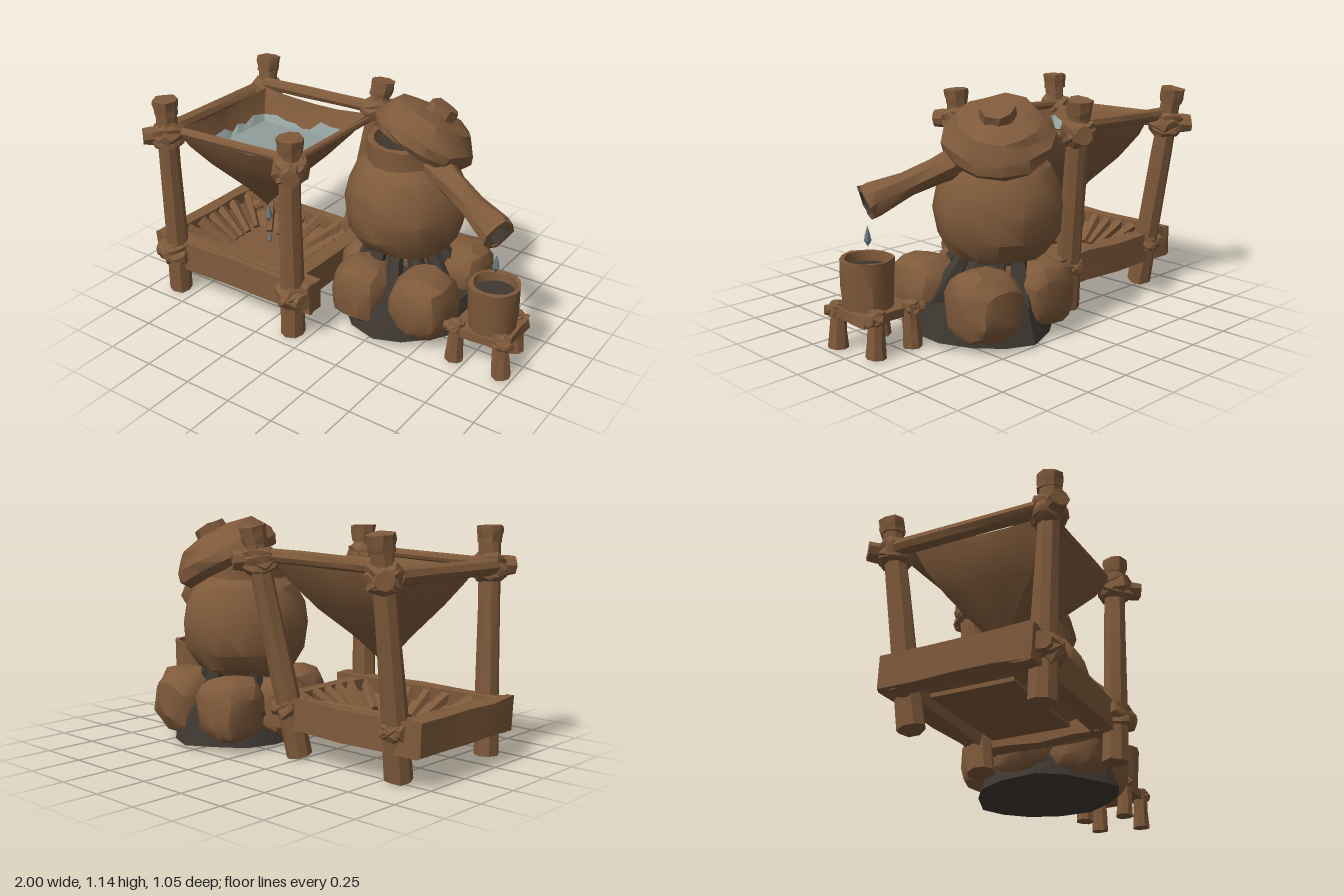
import * as THREE from 'three';
import { toCreasedNormals } from 'three/addons/utils/BufferGeometryUtils.js';

const mat = (name, color) => {
  const m = new THREE.MeshStandardMaterial({ color, side: THREE.DoubleSide });
  m.name = name;
  return m;
};
const V = (x, y, z) => new THREE.Vector3(x, y, z);

// Repeatable noise from a position, so shared corners move together
const hash = (x, y, z, s) => {
  const n = Math.sin(Math.round(x * 500) * 12.99 + Math.round(y * 500) * 78.23 + Math.round(z * 500) * 37.72 + s * 4.1) * 43758.5453;
  return (n - Math.floor(n)) * 2 - 1;
};
function roughen(geo, amount, seed = 1) {
  const p = geo.attributes.position;
  for (let i = 0; i < p.count; i++) {
    const [x, y, z] = [p.getX(i), p.getY(i), p.getZ(i)];
    p.setXYZ(i, x + amount * hash(x, y, z, seed), y + amount * hash(x, y, z, seed + 1), z + amount * hash(x, y, z, seed + 2));
  }
  return toCreasedNormals(geo, 0.55);
}
// Radius factor that turns a circle into a square
const square = (a) => 1 / Math.max(Math.abs(Math.cos(a)), Math.abs(Math.sin(a)));

// Surface through rings of equal point count
function skin(rings) {
  const n = rings[0].length, idx = [];
  for (let r = 1; r < rings.length; r++) {
    for (let i = 0; i < n; i++) {
      const b = r * n + i, c = r * n + (i + 1) % n;
      idx.push(b - n, c - n, b, c - n, c, b);
    }
  }
  const g = new THREE.BufferGeometry().setFromPoints(rings.flat());
  g.setIndex(idx);
  return g;
}

export function createModel() {
  const root = new THREE.Group();
  const wood = mat('brown', 0x7f5a3b);
  const char = mat('charcoal', 0x3f3831);
  const water = mat('water', 0x909e9b);
  const dropMat = mat('droplet', 0x6b7a7e);
  const group = (name) => { const g = new THREE.Group(); g.name = name; root.add(g); return g; };
  const add = (parent, name, geo, m = wood) => {
    const mesh = new THREE.Mesh(geo, m);
    mesh.name = name;
    parent.add(mesh);
    return mesh;
  };

  // Rough pole running from a to b
  let seed = 1;
  const limb = (parent, name, a, b, r0, r1 = r0, m = wood, sides = 8) => {
    const len = a.distanceTo(b);
    const mesh = add(parent, name, roughen(new THREE.CylinderGeometry(r1, r0, len, sides, 3), r0 * 0.07, seed++), m);
    mesh.position.copy(a).lerp(b, 0.5);
    mesh.quaternion.setFromUnitVectors(V(0, 1, 0), b.clone().sub(a).normalize());
  };
  // Lump of rough stone or rope; power below 1 makes it boxier
  const lump = (parent, name, c, size, rough, power = 1, floor = -9) => {
    const g = new THREE.IcosahedronGeometry(1, power < 1 ? 2 : 1);
    const p = g.attributes.position, k = (v) => Math.sign(v) * Math.abs(v) ** power;
    for (let i = 0; i < p.count; i++) {
      const [x, y, z] = [p.getX(i), p.getY(i), p.getZ(i)];
      const n = (j) => rough * hash(x, y, z, seed + j);
      p.setXYZ(i, c.x + size.x * (k(x) + n(0)), Math.max(floor, c.y + size.y * (k(y) + n(1))), c.z + size.z * (k(z) + n(2)));
    }
    seed++;
    add(parent, name, toCreasedNormals(g, 0.55));
  };
  // Lashed joint with a stub pointing outward and crossed wraps
  const knot = (parent, c, out, r, reach) => {
    lump(parent, 'lashing', c, V(r, r * 0.9, r), 0.16);
    const d = out.clone().normalize();
    limb(parent, 'lashingStub', c, c.clone().addScaledVector(d, r * reach), r * 0.6, r * 0.5);
    [-0.6, 0.6].forEach((tilt) => {
      const t = add(parent, 'lashingWrap', roughen(new THREE.TorusGeometry(r * 0.82, r * 0.24, 5, 10), r * 0.05, seed++));
      t.position.copy(c);
      t.rotation.set(Math.PI / 2 + tilt * d.z, tilt * d.x, 0);
    });
  };

  // Four posts of the filter stand
  const stand = group('filterStand');
  const posts = [
    [V(-0.855, 0.005, 0.395), V(-0.83, 1.1, 0.415)],
    [V(-0.09, 0.005, 0.395), V(-0.06, 1.08, 0.41)],
    [V(-0.82, 0.012, -0.24), V(-0.84, 1.09, -0.41)],
    [V(-0.22, 0.012, -0.24), V(-0.09, 1.1, -0.42)],
  ];
  const at = (i, y) => posts[i][0].clone().lerp(posts[i][1], y / 1.1);
  posts.forEach(([a, b], i) => {
    limb(stand, 'post', a, b, 0.064, 0.05);
    limb(stand, 'postCap', at(i, 1.02), b, 0.058, 0.064);
    const out = V(a.x < -0.5 ? -0.7 : 0.6, 0, a.z > 0 ? 0.8 : -0.8);
    knot(stand, at(i, i % 2 ? 0.94 : 0.91), out, 0.088, 1.4);
    knot(stand, at(i, 0.23), V(out.x, 0, out.z * 0.3), i < 2 ? 0.088 : 0.07, 1.2);
  });

  // Rails carrying the cloth
  limb(stand, 'backRail', V(-0.82, 0.95, -0.36), V(-0.1, 0.965, -0.36), 0.034);
  limb(stand, 'leftRail', V(-0.875, 0.91, -0.34), V(-0.875, 0.91, 0.38), 0.04);
  limb(stand, 'frontRail', V(-0.8, 0.93, 0.385), V(-0.08, 0.955, 0.385), 0.024);
  limb(stand, 'rightRail', V(-0.115, 0.915, -0.34), V(-0.115, 0.915, 0.38), 0.02);

  // Cloth funnel: square rings shrinking to a point
  const ringAngles = (n) => Array.from({ length: n }, (_, i) => (i / n) * Math.PI * 2 + Math.PI / 4);
  const rows = [[0.95, 0.34], [0.84, 0.305], [0.72, 0.23], [0.58, 0.11], [0.45, 0.005]];
  const cloth = skin(rows.map(([y, h], r) => {
    const k = r / (rows.length - 1);
    return ringAngles(16).map((a) => {
      const q = THREE.MathUtils.lerp(square(a), 1, k * 0.7);
      const sag = r === 0 ? 0.03 * (1.414 - q) / 0.414 : 0;
      return V(-0.45 - 0.07 * k + Math.cos(a) * q * h, y - sag, 0.045 - 0.015 * k + Math.sin(a) * q * h * 1.04);
    });
  }));
  const funnel = group('filterFunnel');
  add(funnel, 'cloth', roughen(cloth, 0.007, 5));

  // Water lapping up the cloth in ragged peaks
  const waterRing = (h, peak) => ringAngles(32).map((a, i) => {
    const up = peak * (0.5 + 0.5 * hash(i, 2, 3, 1)), q = square(a) * (h + 0.25 * up);
    return V(-0.46 + Math.cos(a) * q, 0.815 + up, 0.055 + Math.sin(a) * q);
  });
  add(funnel, 'waterSurface', toCreasedNormals(skin([waterRing(0.257, 0.07), waterRing(0.235, 0), waterRing(0.001, 0)]), 0.5), water);

  // Falling drops
  const drops = group('drops');
  [[-0.52, 0.395, 0.03, 1], [-0.52, 0.25, 0.03, 0.7], [0.83, 0.53, 0.03, 0.9]].forEach(([x, y, z, s]) => {
    const pts = [[0, -0.055], [0.02, -0.022], [0.014, 0.008], [0, 0.055]].map(([a, b]) => new THREE.Vector2(a * s, b * s));
    add(drops, 'drop', toCreasedNormals(new THREE.LatheGeometry(pts, 5), 0.5), dropMat).position.set(x, y, z);
  });

  // Tray under the funnel
  const tray = group('tray');
  const beam = (name, w, h, d, x, y, z) =>
    add(tray, name, roughen(new THREE.BoxGeometry(w, h, d, 4, 1, 4), 0.008, seed++)).position.set(x, y, z);
  beam('frontBeam', 1.0, 0.16, 0.1, -0.48, 0.225, 0.36);
  beam('backBeam', 0.88, 0.15, 0.08, -0.53, 0.22, -0.27);
  beam('leftBeam', 0.09, 0.16, 0.72, -0.945, 0.225, 0.05);
  beam('rightBeam', 0.09, 0.15, 0.66, -0.12, 0.22, 0.04);
  add(tray, 'trayFloor', new THREE.BoxGeometry(0.56, 0.02, 0.4)).position.set(-0.53, 0.16, 0.04);
  const slope = add(tray, 'traySlope', toCreasedNormals(new THREE.CylinderGeometry(Math.SQRT1_2, 0.45, 0.1, 4, 1, true, Math.PI / 4), 0.5));
  slope.scale.set(0.8, 1, 0.62);
  slope.position.set(-0.53, 0.215, 0.04);
  ringAngles(22).forEach((a) => {
    const p = (f, y) => V(-0.53 + Math.cos(a) * square(a) * 0.38 * f, y, 0.04 + Math.sin(a) * square(a) * 0.29 * f);
    limb(tray, 'traySlat', p(0.55, 0.175), p(1, 0.28), 0.02, 0.032, wood, 5);
  });

  // Hearth of boulders on a sooty bed, charred wood in the middle
  const hearth = group('hearth');
  [[0.14, 0.1, 0.15, 0.16, 0.15], [0.47, 0.05, 0.16, 0.17, 0.165], [0.46, -0.34, 0.16, 0.17, 0.165],
    [0.13, -0.36, 0.16, 0.165, 0.15], [0.04, -0.13, 0.14, 0.15, 0.15]]
    .forEach(([x, z, a, b, c]) => lump(hearth, 'boulder', V(x, 0.2, z), V(a, b, c), 0.07, 0.72, 0.022));
  const bed = add(hearth, 'sootBed', roughen(new THREE.CylinderGeometry(0.3, 0.34, 0.16, 14), 0.012, 3), char);
  bed.scale.z = 1.1;
  bed.position.set(0.29, 0.105, -0.13);
  ringAngles(11).forEach((a) => {
    const c = Math.cos(a), s = Math.sin(a);
    limb(hearth, 'charredStick', V(0.27 + c * 0.28, 0.16, -0.14 + s * 0.28), V(0.23 + c * 0.17, 0.38, -0.17 + s * 0.17), 0.05, 0.04, char, 6);
  });

  // Round pot
  const pot = group('pot');
  const profile = (pts) => pts.map(([x, y]) => new THREE.Vector2(x, y));
  const body = profile([[0, 0.34], [0.15, 0.345], [0.24, 0.39], [0.295, 0.48], [0.315, 0.6], [0.295, 0.71], [0.25, 0.8], [0.2, 0.84], [0.2, 0.94], [0.17, 0.94], [0.17, 0.84]]);
  add(pot, 'potBody', roughen(new THREE.LatheGeometry(body, 16), 0.007, 9)).position.set(0.21, 0, -0.18);
  add(pot, 'potInside', new THREE.CircleGeometry(0.18, 14).rotateX(-Math.PI / 2), char).position.set(0.21, 0.9, -0.18);

  // Tilted lid with its handle knob
  const lid = group('lid');
  lid.position.set(0.262, 0.925, -0.24);
  lid.quaternion.setFromUnitVectors(V(0, 1, 0), V(0.34, 0.88, -0.3).normalize());
  const dome = profile([[0, -0.015], [0.19, -0.015], [0.245, -0.035], [0.272, 0.0], [0.262, 0.05], [0.225, 0.09], [0.19, 0.13], [0.1, 0.15], [0, 0.155]]);
  add(lid, 'lidDome', roughen(new THREE.LatheGeometry(dome, 13), 0.01, 4));
  add(lid, 'lidKnob', roughen(new THREE.CylinderGeometry(0.078, 0.09, 0.09, 8), 0.008, 3)).position.set(0.01, 0.15, -0.01);

  // Flared spout, open at the tip
  const spout = group('spout');
  const a = V(0.38, 0.86, -0.15), b = V(0.835, 0.68, 0.03);
  spout.position.copy(a);
  spout.quaternion.setFromUnitVectors(V(0, 1, 0), b.clone().sub(a).normalize());
  const L = a.distanceTo(b);
  const tube = profile([[0.085, 0], [0.065, L * 0.3], [0.056, L * 0.6], [0.084, L * 0.92], [0.084, L], [0.06, L]]);
  add(spout, 'spoutTube', roughen(new THREE.LatheGeometry(tube, 9), 0.007, 6));
  add(spout, 'spoutInside', new THREE.LatheGeometry(profile([[0.06, L], [0.045, L * 0.8], [0, L * 0.77]]), 9), char);

  // Cup on a small lashed table
  const table = group('cupTable');
  const cup = profile([[0, 0.19], [0.115, 0.2], [0.122, 0.3], [0.126, 0.43], [0.105, 0.43], [0.1, 0.38]]);
  add(table, 'cup', roughen(new THREE.LatheGeometry(cup, 14), 0.004, 7)).position.set(0.835, 0, 0.035);
  add(table, 'cupInside', new THREE.CircleGeometry(0.103, 14).rotateX(-Math.PI / 2), char).position.set(0.835, 0.385, 0.035);
  add(table, 'tableTop', roughen(new THREE.BoxGeometry(0.29, 0.045, 0.26, 3, 1, 3), 0.006, 8)).position.set(0.82, 0.178, 0.025);
  [[0.7, 0.13], [0.93, 0.13], [0.7, -0.1], [0.89, -0.1]].forEach(([x, z]) => {
    const dx = x < 0.8 ? -1 : 1;
    limb(table, 'tableLeg', V(x + dx * 0.012, 0.003, z), V(x, 0.22, z), 0.047, 0.036);
    knot(table, V(x + dx * 0.01, 0.185, z), V(dx, 0.1, z > 0 ? 0.4 : -0.4), 0.045, 1.3);
  });
  return root;
}
